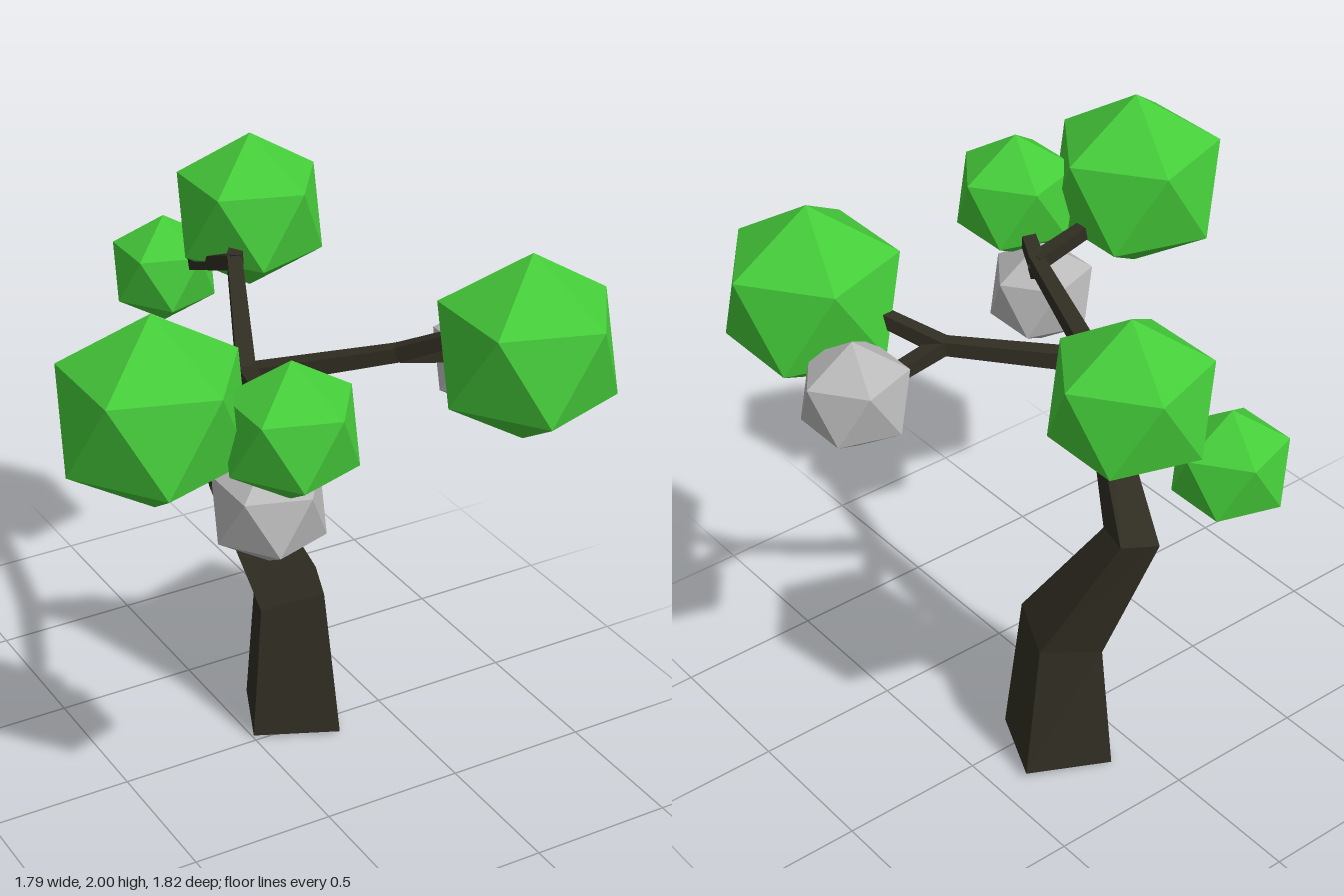
import * as THREE from 'three';

const V = (p) => new THREE.Vector3(...p);

// Four-sided solid lofted through rings of corners (front, right, back, left)
function loft(rings) {
  const pos = [];
  const tri = (...pts) => pts.forEach((p) => pos.push(...p));
  for (let r = 0; r < rings.length - 1; r++) {
    const a = rings[r], b = rings[r + 1];
    for (let i = 0; i < 4; i++) {
      const j = (i + 1) % 4;
      tri(a[i], a[j], b[j]);
      tri(a[i], b[j], b[i]);
    }
  }
  const lo = rings[0], hi = rings[rings.length - 1];
  tri(lo[0], lo[2], lo[1]);
  tri(lo[0], lo[3], lo[2]);
  tri(hi[0], hi[1], hi[2]);
  tri(hi[0], hi[2], hi[3]);
  const g = new THREE.BufferGeometry();
  g.setAttribute('position', new THREE.Float32BufferAttribute(pos, 3));
  g.computeVertexNormals();
  return g;
}

export function createModel() {
  const tree = new THREE.Group();
  tree.name = 'tree';
  const material = (name, color) => {
    const m = new THREE.MeshStandardMaterial({ color, flatShading: true });
    m.name = name;
    return m;
  };
  const bark = material('darkBark', 0x302d22);
  const green = material('leafGreen', 0x45cc3a);
  const gray = material('paleGray', 0xbababa);

  const add = (name, geometry, mat) => {
    const mesh = new THREE.Mesh(geometry, mat);
    mesh.name = name;
    tree.add(mesh);
    return mesh;
  };

  // Bent, tapering trunk
  add('trunk', loft([
    [[0.275, 0.01, 0.108], [0.395, 0.02, -0.165], [0.12, 0.0, -0.285], [0.0, 0.01, -0.015]],
    [[0.24, 0.55, 0.045], [0.33, 0.52, -0.165], [0.13, 0.47, -0.245], [0.04, 0.5, -0.035]],
    [[0.085, 0.94, -0.195], [0.13, 0.96, -0.335], [0, 0.93, -0.375], [-0.045, 0.905, -0.24]],
    [[-0.02, 1.42, 0.04], [0.005, 1.44, -0.01], [-0.05, 1.46, -0.035], [-0.075, 1.44, 0.01]],
  ]), bark);

  // Square branches between two points
  const up = new THREE.Vector3(0, 1, 0);
  const branch = (name, from, to, r0, r1) => {
    const a = V(from), b = V(to), d = b.clone().sub(a);
    const g = new THREE.CylinderGeometry(r1, r0, d.length(), 4);
    g.rotateY(Math.PI / 4);
    const m = add(name, g, bark);
    // keep one pair of sides upright
    const y = d.normalize();
    const x = y.clone().cross(up).normalize();
    const z = x.clone().cross(y);
    m.quaternion.setFromRotationMatrix(new THREE.Matrix4().makeBasis(x, y, z));
    m.position.copy(a.add(b).multiplyScalar(0.5));
  };

  const crotch = [-0.035, 1.435, 0];
  const limbs = [
    { name: 'rightLimb', end: [-0.18, 1.52, 0.48],
      twigs: [[-0.42, 1.57, 0.485], [-0.24, 1.58, 0.63], [-0.24, 1.4, 0.54]] },
    { name: 'leftLimb', end: [0.37, 1.53, 0.26],
      twigs: [[0.5, 1.62, 0.41], [0.59, 1.48, 0.275]] },
    { name: 'backLimb', end: [0.13, 1.645, -0.38],
      twigs: [[0.22, 1.69, -0.48], [0.08, 1.54, -0.66]] },
  ];
  for (const { name, end, twigs } of limbs) {
    branch(name, crotch, end, 0.043, 0.034);
    twigs.forEach((t, i) => branch(`${name}Twig${i + 1}`, end, t, 0.036, 0.032));
  }

  // Faceted foliage balls, a vertex pointing straight up
  const ball = new THREE.IcosahedronGeometry(1, 0);
  ball.rotateZ(-Math.atan(2 / (1 + Math.sqrt(5))));
  const balls = [
    ['leafBall', -0.615, 1.675, 0.49, 0.317, green],
    ['leafBall', -0.282, 1.635, 0.715, 0.227, green],
    ['leafBall', 0.61, 1.646, 0.62, 0.317, green],
    ['leafBall', 0.287, 1.727, -0.56, 0.275, green],
    ['leafBall', 0.055, 1.49, -0.747, 0.195, green],
    ['grayBall', -0.28, 1.32, 0.585, 0.195, gray],
    ['grayBall', 0.685, 1.462, 0.293, 0.195, gray],
  ];
  balls.forEach(([name, x, y, z, r, mat], i) => {
    const m = add(`${name}${i + 1}`, ball, mat);
    m.position.set(x, y, z);
    m.scale.setScalar(r);
  });

  return tree;
}
